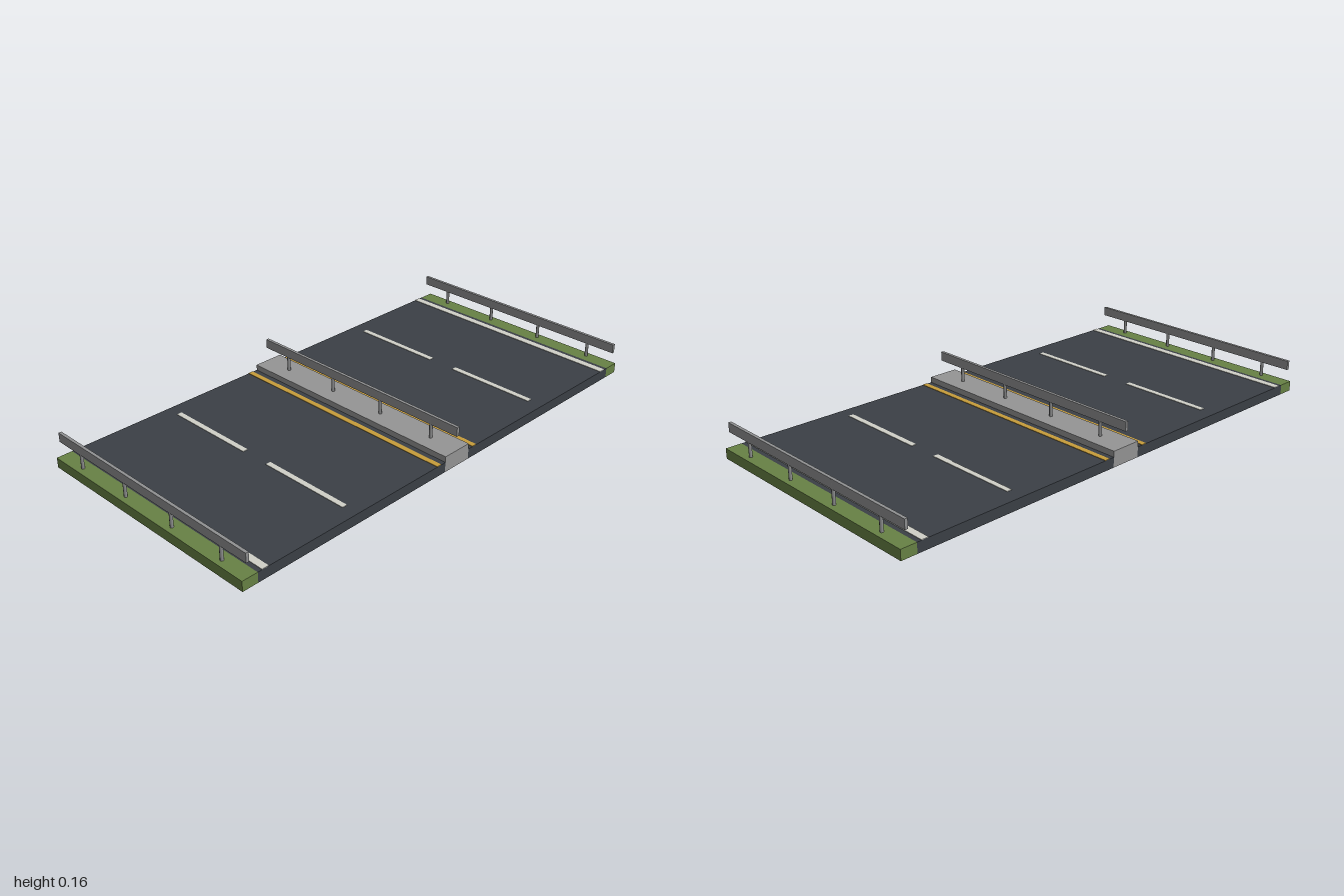
import * as THREE from 'three';

const mat = (name, color) => new THREE.MeshStandardMaterial({ name, color, side: THREE.DoubleSide });

export function createModel() {
  const asphalt = mat('asphalt', 0x3b4046);
  const grass = mat('grass', 0x688245);
  const concrete = mat('concrete', 0x959595);
  const steel = mat('steel', 0x909192);
  const white = mat('white paint', 0xd0d0c8);
  const yellow = mat('yellow paint', 0xc79c3a);

  const model = new THREE.Group();
  model.name = 'dividedHighway';
  const LENGTH = 1, DECK = 0.04, KERB = 0.063;

  const add = (parent, name, geometry, material) => {
    const mesh = new THREE.Mesh(geometry, material);
    mesh.name = name;
    parent.add(mesh);
    return mesh;
  };

  // Box from x0 to x1 keeping only the listed faces: 0 +x, 1 -x, 2 top, 4 front, 5 back
  const shell = (name, x0, x1, height, faces, material) => {
    const geometry = new THREE.BoxGeometry(x1 - x0, height, LENGTH);
    const all = Array.from(geometry.index.array);
    geometry.setIndex(faces.flatMap((f) => all.slice(f * 6, f * 6 + 6)));
    geometry.clearGroups();
    geometry.translate((x0 + x1) / 2, height / 2, 0);
    return add(model, name, geometry, material);
  };

  // Thin painted stripe on the carriageway
  const stripe = (name, x, width, z, length, material) => {
    const mesh = add(model, name, new THREE.BoxGeometry(width, 0.002, length), material);
    mesh.position.set(x, DECK + 0.001, z);
  };

  // Guardrail: four round posts carrying one long beam
  const guardrail = (name, x, base) => {
    const rail = new THREE.Group();
    rail.name = name;
    rail.position.set(x, base, 0);
    for (const z of [-0.375, -0.125, 0.125, 0.375]) {
      const post = add(rail, 'post', new THREE.CylinderGeometry(0.0065, 0.0065, 0.092, 8), steel);
      post.position.set(0, 0.046, z);
    }
    const beam = add(rail, 'beam', new THREE.BoxGeometry(0.012, 0.037, LENGTH), steel);
    beam.position.y = 0.0755;
    model.add(rail);
  };

  // Central reservation, hollow underneath
  shell('median', -0.063, 0.063, KERB, [0, 1, 2, 4, 5], concrete);
  guardrail('medianGuardrail', 0, KERB);

  for (const [side, s] of [['left', 1], ['right', -1]]) {
    // Carriageway and verge, open underneath
    const span = (a, b) => (s > 0 ? [a, b] : [-b, -a]);
    shell(side + 'Road', ...span(0.063, 0.937), DECK, [2, 4, 5], asphalt);
    shell(side + 'Verge', ...span(0.937, 1), DECK, [s > 0 ? 0 : 1, 2, 4, 5], grass);
    guardrail(side + 'Guardrail', s * 0.974, DECK);

    // Road markings
    stripe(side + 'EdgeLine', s * 0.906, 0.027, 0, LENGTH, white);
    stripe(side + 'MedianLine', s * 0.096, 0.021, 0, LENGTH, yellow);
    for (const z of [-0.25, 0.25]) stripe(side + 'LaneDash', s * 0.503, 0.021, z, 0.38, white);
  }
  return model;
}
